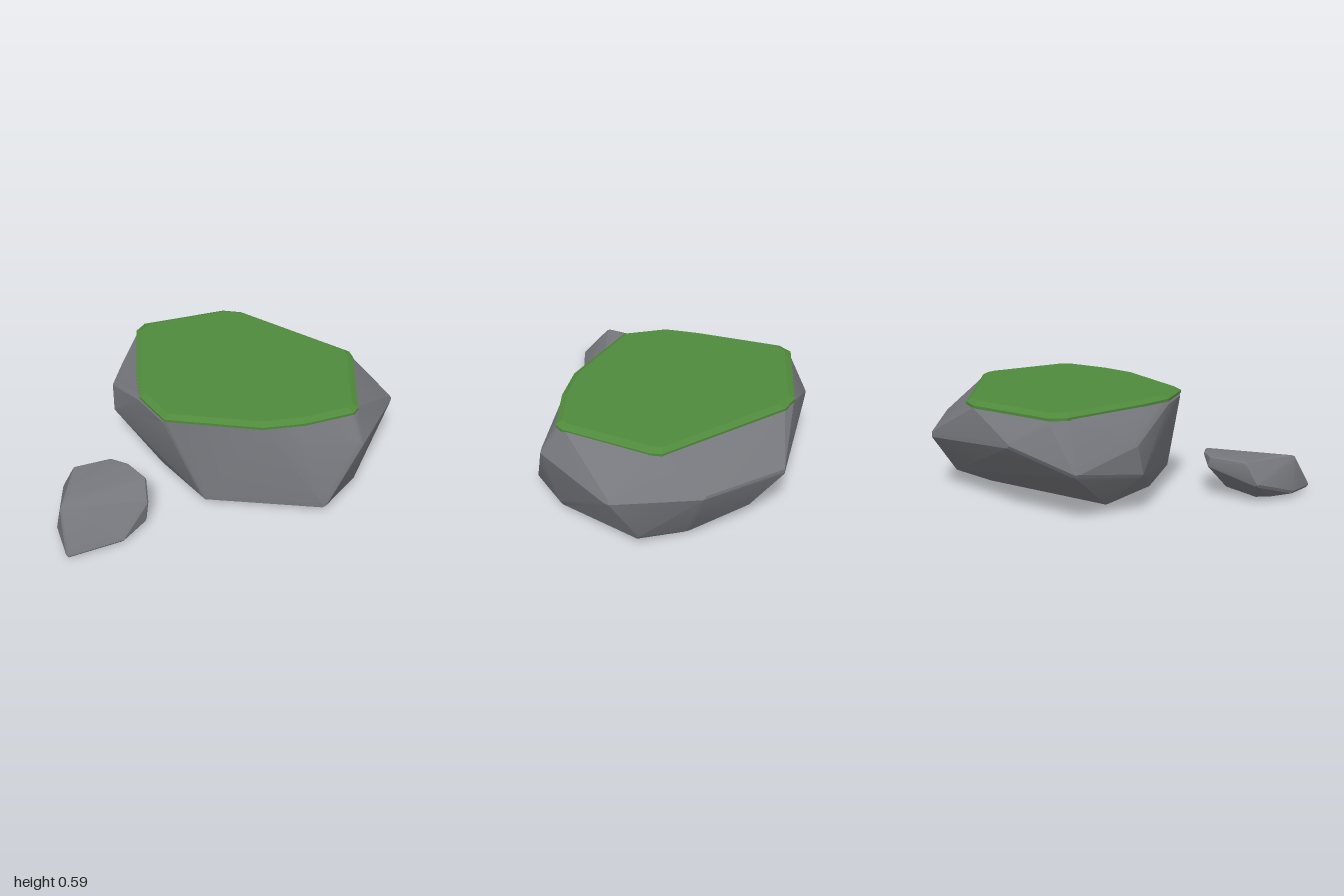
import * as THREE from 'three';
import { ConvexGeometry } from 'three/addons/geometries/ConvexGeometry.js';
import { toCreasedNormals } from 'three/addons/utils/BufferGeometryUtils.js';

// Convex stone through the given corners, with narrow bevels of radius r
function stone(corners, r) {
  const pts = corners.map((c) => new THREE.Vector3(...c));
  const box = new THREE.Box3().setFromPoints(pts);
  const mid = box.getCenter(new THREE.Vector3());
  const half = box.getSize(new THREE.Vector3()).multiplyScalar(0.5);
  const e = r * 0.85;
  const inset = new THREE.Vector3(1 - e / half.x, 1 - e / half.y, 1 - e / half.z);
  const a = r * 0.526, b = r * 0.851;
  const all = [];
  for (const p of pts) {
    const q = p.clone().sub(mid).multiply(inset).add(mid);
    for (const s of [-1, 1]) for (const t of [-1, 1]) {
      all.push(
        new THREE.Vector3(q.x, q.y + s * a, q.z + t * b),
        new THREE.Vector3(q.x + s * a, q.y + t * b, q.z),
        new THREE.Vector3(q.x + t * b, q.y, q.z + s * a));
    }
  }
  return toCreasedNormals(new ConvexGeometry(all), 0.35);
}

export function createModel() {
  const rock = new THREE.MeshStandardMaterial({ color: 0x77787d });
  rock.name = 'rock grey';
  const grass = new THREE.MeshStandardMaterial({ color: 0x508a3c });
  grass.name = 'grass green';

  const group = new THREE.Group();
  group.name = 'grassyRocks';
  const add = (name, geometry, material) => {
    const mesh = new THREE.Mesh(geometry, material);
    mesh.name = name;
    group.add(mesh);
  };

  // Outline of the flat top, as x and z
  const rim = [
    [-0.73, -0.52], [-0.70, -0.61], [-0.23, -0.86], [-0.11, -0.86], [0.63, -0.51],
    [0.66, -0.45], [0.73, 0.07], [0.71, 0.12], [0.45, 0.27], [0.22, 0.35],
    [-0.34, 0.37], [-0.53, 0.18], [-0.60, -0.02],
  ];

  // Large boulder: top rim, bulging waist, undercut base
  add('boulder', stone([
    ...rim.map(([x, z]) => [x, 0.56, z]),
    [0.14, 0.34, -1.0], [0.61, 0.36, -0.76], [0.92, 0.36, -0.35], [0.78, 0.40, 0.19],
    [-0.57, 0.42, -0.79], [-0.85, 0.29, -0.53], [-0.80, 0.40, -0.16], [-0.79, 0.22, -0.12],
    [-0.11, 0.03, 0.42], [0.60, 0.03, 0.37], [0.74, 0.04, 0.10], [0.78, 0.06, -0.45],
    [0.55, 0.02, -0.62], [0.22, 0.08, -0.83], [0.10, 0.03, -0.68], [-0.63, 0.03, -0.25],
    [-0.42, 0.03, 0.14],
  ], 0.03), rock);

  // Thin turf cap with a sloping edge
  const turf = [];
  for (const [x, z] of rim) {
    turf.push(new THREE.Vector3(x * 1.005, 0.55, -0.2 + (z + 0.2) * 1.01));
    turf.push(new THREE.Vector3(x * 1.005, 0.565, -0.2 + (z + 0.2) * 1.01));
    turf.push(new THREE.Vector3(x * 0.95, 0.585, -0.2 + (z + 0.2) * 0.95));
  }
  add('turfCap', new ConvexGeometry(turf), grass);

  // Small stone beside the boulder
  add('smallStone', stone([
    [-0.84, 0.23, 0.84], [-0.82, 0.245, 0.74], [-0.87, 0.24, 0.49], [-0.68, 0.24, 0.38],
    [-0.56, 0.24, 0.41], [-0.44, 0.22, 0.49], [-0.67, 0.20, 0.37],
    [-0.93, 0.12, 0.53], [-0.40, 0.14, 0.61], [-0.89, 0.03, 0.80],
    [-0.77, 0.01, 1.0], [-0.50, 0.01, 0.82], [-0.41, 0.02, 0.64],
    [-0.55, 0.0, 0.58], [-0.78, 0.0, 0.62], [-0.86, 0.02, 0.66],
  ], 0.018), rock);

  return group;
}
